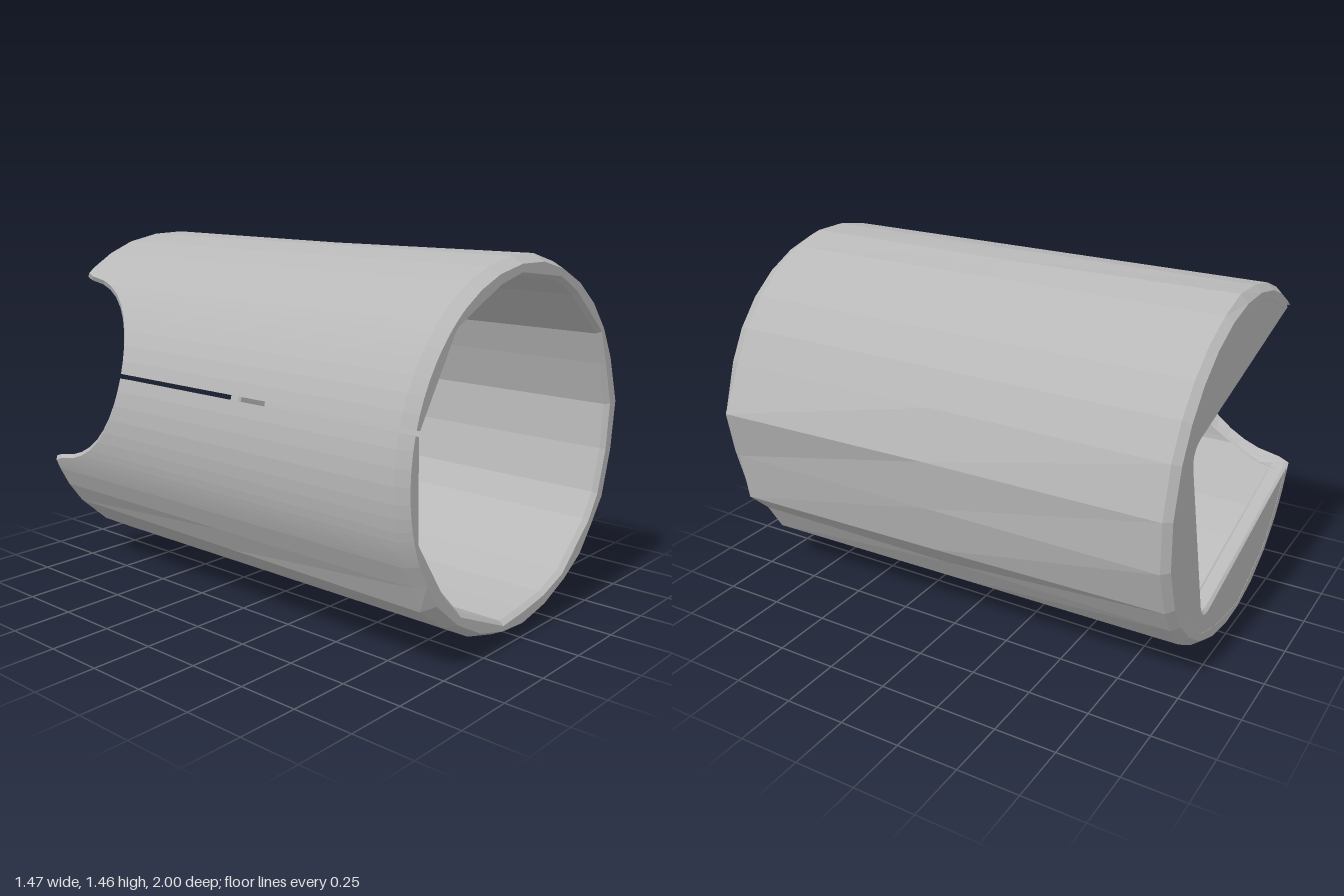
import * as THREE from 'three';

const DEG = Math.PI / 180;
const NOTCH_HALF = 0.405, NOTCH_DEPTH = 0.5;

// Angles around the sleeve, measured from the slit (dense around the notch)
const notchSide = [0.8, 5, 10, 15, 20, 24, 28, 31, 33, 34.5, 36, 38, 39.5];
const body = [47, 56, 70, 84, 97, 108.6, 122, 135, 146.6, 158, 168.6, 185, 201.6, 218, 230, 242, 254, 266, 278, 290, 302, 312];
const angles = [...notchSide, ...body, ...notchSide.map(a => 360 - a).reverse()];

// Hand-cut high spots on the outside: extra radius at front, middle, back
const bumps = {
  56: [0.02, 0.01, 0], 108.6: [0.012, 0.033, 0.012], 146.6: [0.03, 0.02, 0.01],
  168.6: [0.035, 0.02, 0], 201.6: [0.048, 0.015, 0], 278: [0.005, 0, 0.008]
};

// Coarse eleven-sided bore
function boreRadius(t) {
  const step = 2 * Math.PI / 11;
  const m = ((t % step) + step) % step - step / 2;
  return 0.655 * Math.cos(step / 2) / Math.cos(m);
}

// Back rim position, scooped out by the notch
function backZ(r, t) {
  const v = r * Math.sin(t) / NOTCH_HALF;
  if (Math.cos(t) <= 0 || Math.abs(v) >= 1) return -1;
  return -1 + NOTCH_DEPTH * Math.sqrt(1 - v * v);
}

// Wall cross-section at one angle: outside front to back, then inside back to front
function section(deg) {
  const t = deg * DEG, ro = 0.712, ri = boreRadius(t);
  const [f, m, b] = bumps[deg] || [0, 0, 0];
  const zo = backZ(ro, t), zi = backZ(ri, t);
  return [
    [ro - 0.025 + f * 0.3, 1], [ro + f, 0.95], [ro + m, 0], [ro + b, zo + 0.03],
    [ro - 0.025, zo], [ri + 0.015, zi], [ri, zi + 0.02], [ri, 0.98], [ri + 0.015, 1]
  ].map(([r, z]) => [r * Math.cos(t), r * Math.sin(t), z]);
}

function sleeveGeometry() {
  const rings = angles.map(section), n = rings[0].length, index = [];
  for (let i = 0; i < rings.length - 1; i++) {
    for (let k = 0; k < n; k++) {
      const k2 = (k + 1) % n;
      const a = i * n + k, b = i * n + k2, c = b + n, d = a + n;
      index.push(a, b, c, a, c, d);
    }
  }
  // Faces on both sides of the slit
  const last = (rings.length - 1) * n;
  for (let k = 1; k < n - 1; k++) index.push(0, k + 1, k, last, last + k, last + k + 1);
  const g = new THREE.BufferGeometry();
  g.setAttribute('position', new THREE.Float32BufferAttribute(rings.flat(2), 3));
  g.setIndex(index);
  const flat = g.toNonIndexed();
  flat.computeVertexNormals();
  return flat;
}

// Back plate with a rounded opening running out to the notch
function plateGeometry() {
  const r = 0.678, t = Math.asin(NOTCH_HALF / r), h = NOTCH_HALF, end = -0.44, c = 0.07;
  const s = new THREE.Shape();
  s.absarc(0, 0, r, t, 2 * Math.PI - t, false);
  s.lineTo(end + c, -h);
  s.quadraticCurveTo(end, -h, end, -h + c);
  s.lineTo(end, h - c);
  s.quadraticCurveTo(end, h, end + c, h);
  s.closePath();
  const g = new THREE.ExtrudeGeometry(s, {
    depth: 0.05, curveSegments: 20, bevelEnabled: true,
    bevelThickness: 0.012, bevelSize: 0.012, bevelOffset: -0.012, bevelSegments: 1
  });
  g.translate(0, 0, -0.987);
  return g;
}

export function createModel() {
  const grey = new THREE.MeshStandardMaterial({ color: 0xb8b8b8, flatShading: true });
  grey.name = 'light grey';

  const sleeve = new THREE.Mesh(sleeveGeometry(), grey);
  sleeve.name = 'splitSleeve';
  const plate = new THREE.Mesh(plateGeometry(), grey);
  plate.name = 'backPlate';

  // Turn the slit and notch towards the upper right side
  const holder = new THREE.Group();
  holder.name = 'holder';
  holder.add(sleeve, plate);
  holder.rotation.z = 164.6 * DEG;
  holder.position.set(-0.025, 0.745, 0);

  const model = new THREE.Group();
  model.name = 'slottedTube';
  model.add(holder);
  return model;
}
